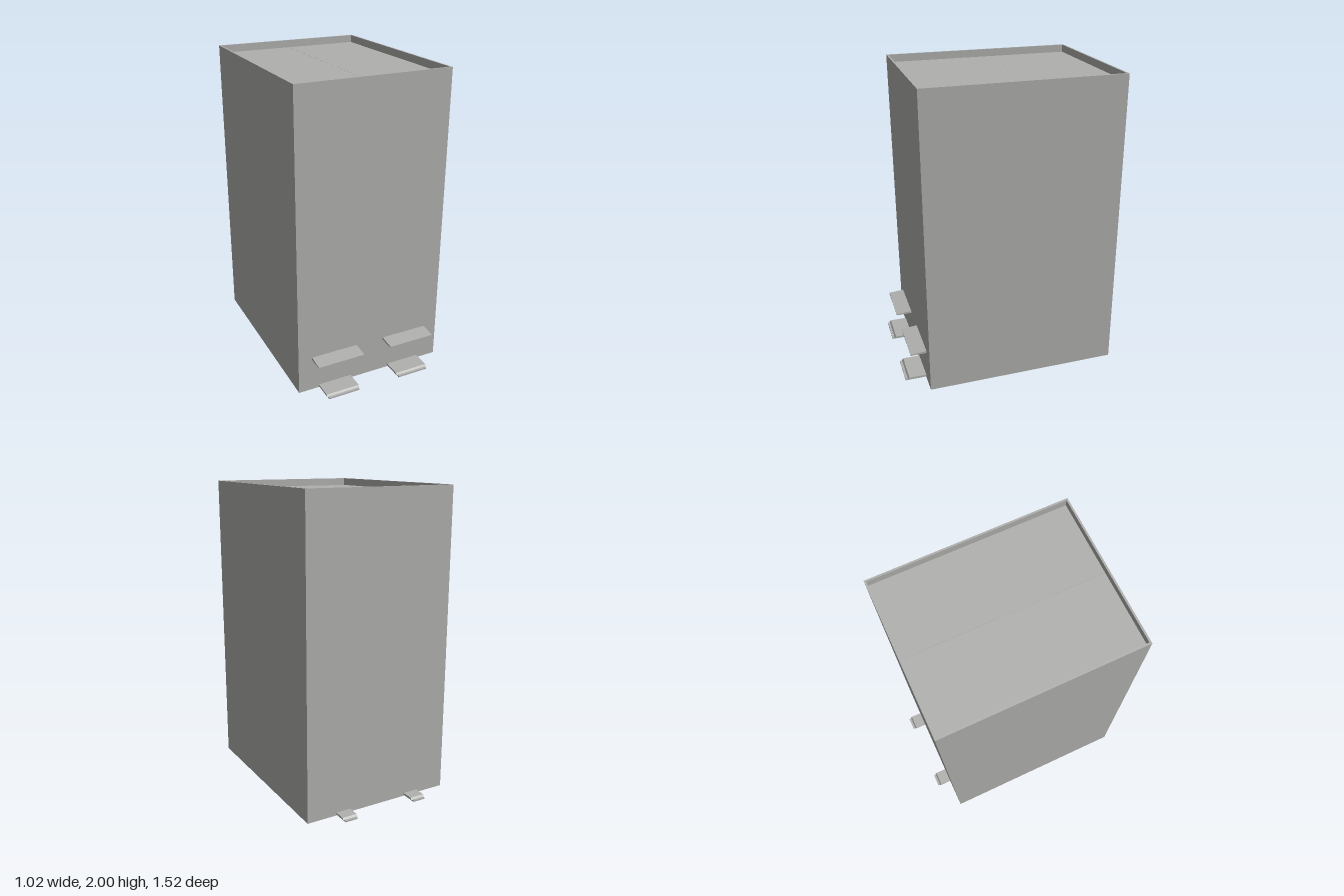
import * as THREE from 'three';

const W = 1.02, FRONT = 0.62, BACK = -0.66, H = 2, WALL = 0.012;

// Extrudes a (z, y) side profile across x, centred on x = 0
function extrudeProfile(points, width) {
  const shape = new THREE.Shape(points.map(([z, y]) => new THREE.Vector2(z, y)));
  const geo = new THREE.ExtrudeGeometry(shape, { depth: width, bevelEnabled: false });
  geo.translate(0, 0, -width / 2);
  geo.rotateY(-Math.PI / 2);
  return geo;
}

export function createModel() {
  const group = new THREE.Group();
  const grey = new THREE.MeshStandardMaterial({ color: 0xb0b0ae });
  grey.name = 'warm grey';

  const add = (name, geo, x = 0, y = 0, z = 0) => {
    const mesh = new THREE.Mesh(geo, grey);
    mesh.name = name;
    mesh.position.set(x, y, z);
    group.add(mesh);
    return mesh;
  };

  const depth = FRONT - BACK, midZ = (FRONT + BACK) / 2;

  // Thin-walled casing, open below
  const rect = (Type, w, d) => new Type([
    new THREE.Vector2(-w / 2, -d / 2), new THREE.Vector2(w / 2, -d / 2),
    new THREE.Vector2(w / 2, d / 2), new THREE.Vector2(-w / 2, d / 2),
  ]);
  const outline = rect(THREE.Shape, W, depth);
  outline.holes.push(rect(THREE.Path, W - 2 * WALL, depth - 2 * WALL));
  const casing = new THREE.ExtrudeGeometry(outline, { depth: H, bevelEnabled: false });
  casing.rotateX(-Math.PI / 2);
  add('casing', casing, 0, 0, midZ);

  // Two lid panels sunk below the rim, meeting at a centre seam
  const panelW = W / 2 - WALL;
  const panel = new THREE.BoxGeometry(panelW - 0.001, 0.01, depth - 2 * WALL);

  // Sloping ledges on the front
  const ledge = extrudeProfile(
    [[FRONT - 0.015, 0.226], [0.725, 0.226], [0.725, 0.233], [FRONT, 0.242], [FRONT - 0.015, 0.242]], 0.32);

  // Feet with a chamfered raised part over a thin toe
  const foot = (reach, width) => [
    extrudeProfile([[-0.015, 0.008], [reach - 0.015, 0.008], [reach - 0.025, 0.02], [-0.015, 0.02]], width),
    extrudeProfile([[-0.015, 0], [reach, 0], [reach, 0.009], [-0.015, 0.009]], width - 0.015),
  ];
  const frontFoot = foot(0.14, 0.23);
  const backFoot = foot(0.1, 0.102);

  for (const [side, s] of [['left', 1], ['right', -1]]) {
    add(side + 'LidPanel', panel, s * panelW / 2, 1.945, midZ);
    add(side + 'Ledge', ledge, s * 0.257);
    ['Top', 'Toe'].forEach((part, i) => {
      add(side + 'FrontFoot' + part, frontFoot[i], s * 0.255, 0, FRONT);
      add(side + 'BackFoot' + part, backFoot[i], s * 0.257, 0, BACK).rotation.y = Math.PI;
    });
  }
  return group;
}
